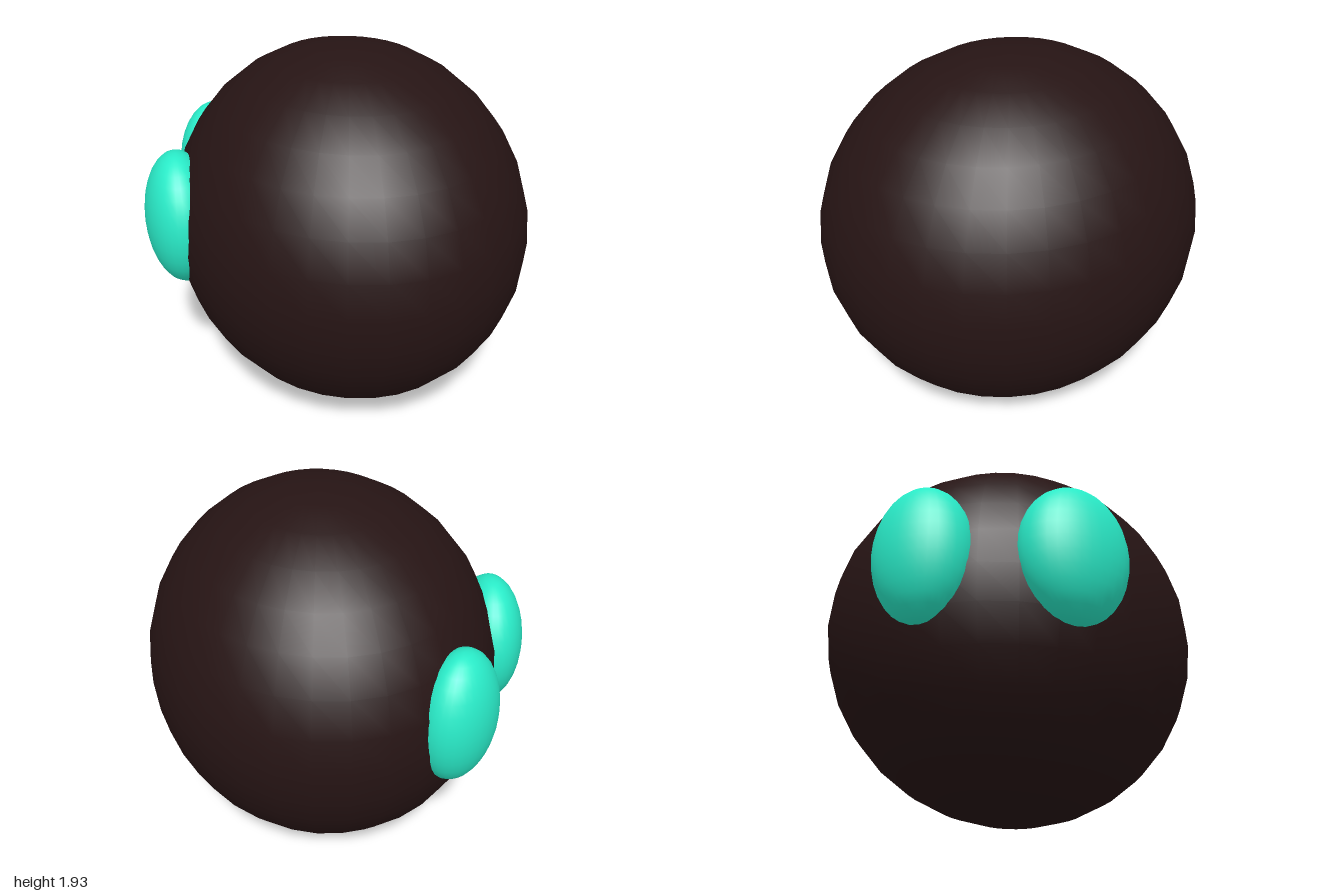
import * as THREE from 'three';

const bodyMaterial = new THREE.MeshStandardMaterial({ color: 0x261414 });
const eyeMaterial = new THREE.MeshStandardMaterial({ color: 0x29ebc8 });

// Smooth sphere stretched to the given radii and turned about the vertical axis
function ellipsoid(name, material, radii, position, turn) {
  const mesh = new THREE.Mesh(new THREE.SphereGeometry(1, 32, 16), material);
  mesh.name = name;
  mesh.scale.set(...radii);
  mesh.position.set(...position);
  mesh.rotation.y = THREE.MathUtils.degToRad(turn);
  return mesh;
}

export function createModel() {
  const model = new THREE.Group();
  model.name = 'roundHead';

  // Slightly oval head, its long axis running diagonally
  model.add(ellipsoid('head', bodyMaterial, [0.915, 0.965, 1.012], [0.047, 0.965, 0], 37));

  // Two tall oval eyes, half sunk into the -x side
  model.add(ellipsoid('frontEye', eyeMaterial, [0.185, 0.36, 0.28], [-0.8, 1.06, 0.265], 21));
  model.add(ellipsoid('backEye', eyeMaterial, [0.183, 0.36, 0.247], [-0.785, 1.06, -0.437], -17.7));

  return model;
}
